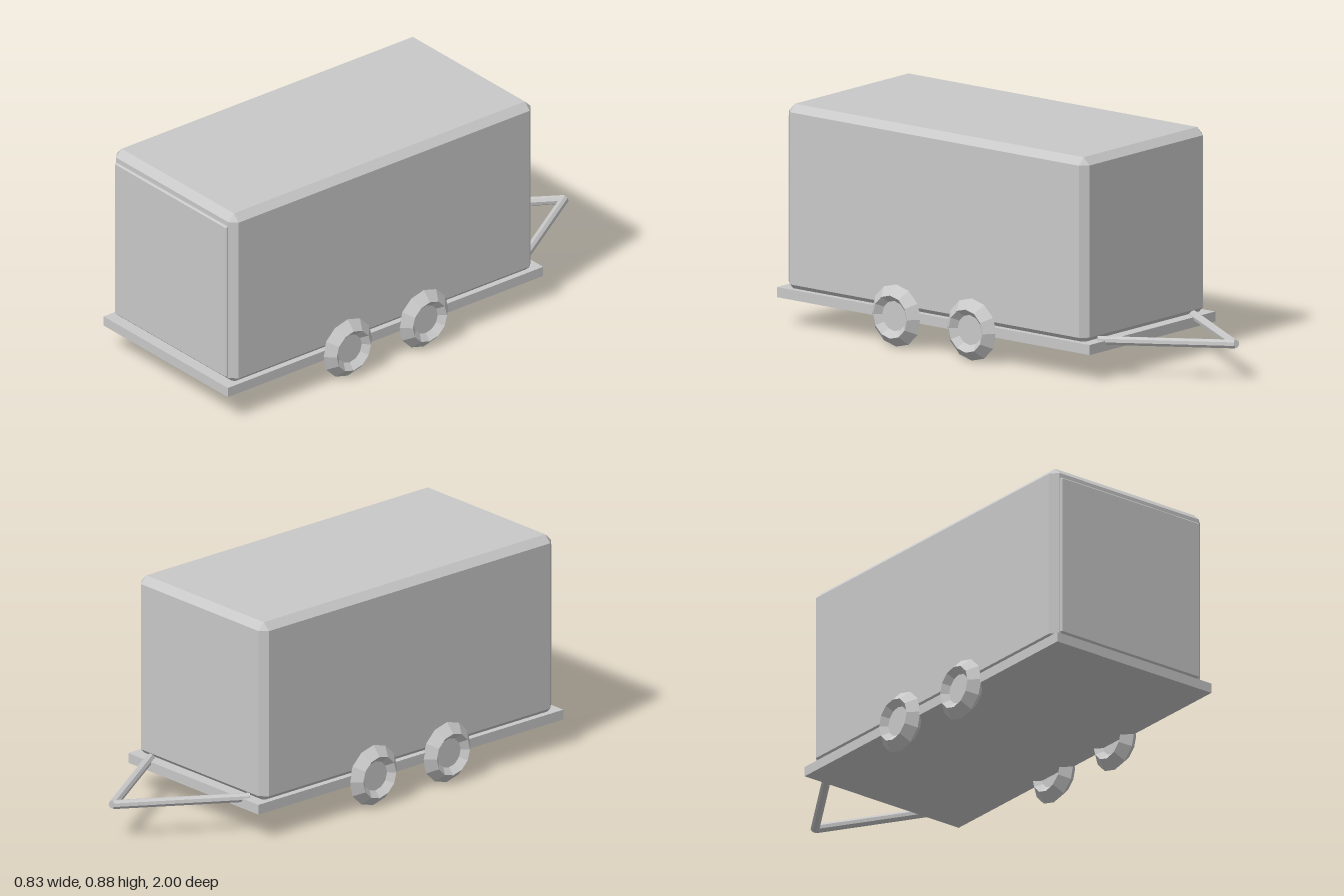
import * as THREE from 'three';
import { ConvexGeometry } from 'three/addons/geometries/ConvexGeometry.js';

// Box between two corners with every edge chamfered by c
function chamferBox(min, max, c) {
  const mid = min.map((v, i) => (v + max[i]) / 2);
  const half = min.map((v, i) => (max[i] - v) / 2);
  const points = [];
  for (const sx of [-1, 1]) for (const sy of [-1, 1]) for (const sz of [-1, 1]) {
    const s = [sx, sy, sz];
    // Three points per corner, each lying on one outer face
    for (let face = 0; face < 3; face++) {
      const p = s.map((d, i) => mid[i] + d * (half[i] - (i === face ? 0 : c)));
      points.push(new THREE.Vector3(...p));
    }
  }
  return new ConvexGeometry(points);
}

export function createModel() {
  const model = new THREE.Group();
  model.name = 'cargoTrailer';
  const grey = new THREE.MeshStandardMaterial({ color: 0xc8c8c8, flatShading: true });
  grey.name = 'lightGrey';

  const add = (name, geometry, parent = model) => {
    const mesh = new THREE.Mesh(geometry, grey);
    mesh.name = name;
    parent.add(mesh);
    return mesh;
  };

  // Flat bed
  add('bed', new THREE.BoxGeometry(0.76, 0.04, 1.575)).position.set(0, 0.13, 0.2125);

  // Cargo box with chamfered edges, and the door panel on its end
  add('cargoBox', chamferBox([-0.372, 0.139, -0.543], [0.372, 0.88, 0.968], 0.029));
  add('door', chamferBox([-0.341, 0.17, 0.955], [0.341, 0.832, 0.978], 0.005));

  // Two wheels on each side: faceted tyre with a recessed hub
  const tyre = new THREE.TorusGeometry(0.0855, 0.038, 4, 12);
  const hub = new THREE.CylinderGeometry(0.06, 0.06, 0.025, 16).rotateX(Math.PI / 2);
  for (const side of [-1, 1]) {
    for (const z of [0.4, 0.02]) {
      const wheel = new THREE.Group();
      wheel.name = (side > 0 ? 'left' : 'right') + (z > 0.2 ? 'Front' : 'Rear') + 'Wheel';
      add('tyre', tyre, wheel);
      add('hub', hub, wheel);
      wheel.rotation.y = side * Math.PI / 2;
      wheel.position.set(side * 0.378, 0.1245, z);
      model.add(wheel);
    }
  }

  // A-shaped drawbar
  for (const side of [-1, 1]) {
    const start = new THREE.Vector3(side * 0.289, 0.148, -0.54);
    const tip = new THREE.Vector3(0, 0.148, -0.99);
    const dir = tip.clone().sub(start);
    const bar = add(side > 0 ? 'leftDrawbar' : 'rightDrawbar',
      new THREE.CylinderGeometry(0.018, 0.018, dir.length(), 8));
    bar.position.copy(start).add(tip).multiplyScalar(0.5);
    bar.quaternion.setFromUnitVectors(new THREE.Vector3(0, 1, 0), dir.normalize());
  }

  return model;
}
